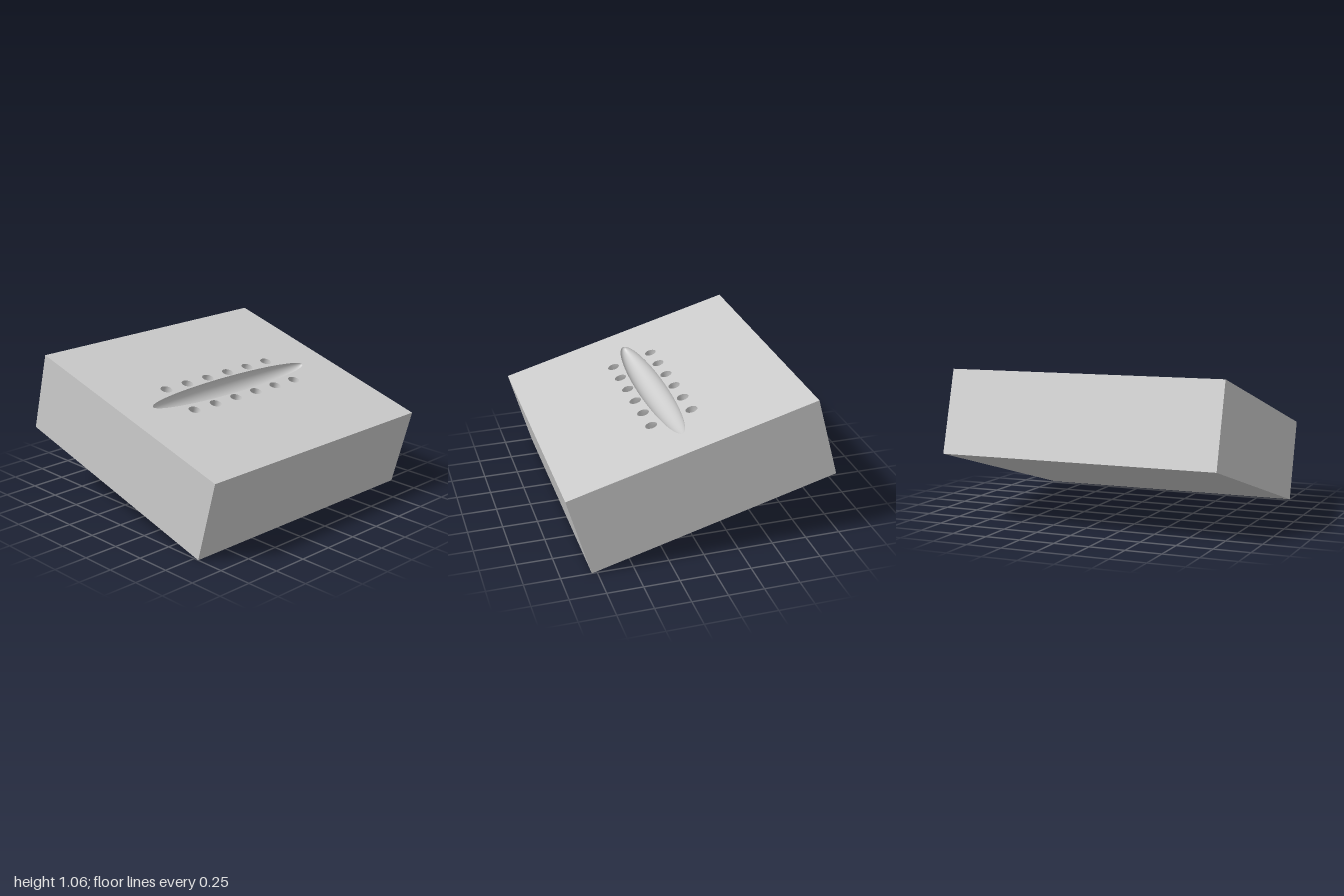
import * as THREE from 'three';

const W = 1.8, H = 0.6, L = 2;              // block width, thickness, length
const TILT = THREE.MathUtils.degToRad(15.5);
const GROOVE = { x: 0.1, y: 0.1, z: 0.75 }; // radii of the incision
const HOLE_R = 0.042, HOLE_X = 0.15;        // suture holes
const ROWS = [-0.5, -0.3, -0.1, 0.1, 0.3, 0.5];

export function createModel() {
  const model = new THREE.Group();
  const block = new THREE.Group();
  block.name = 'tiltedBlock';
  block.rotation.z = -TILT;
  block.position.y = (W * Math.sin(TILT) + H * Math.cos(TILT)) / 2;
  model.add(block);

  const solid = new THREE.MeshStandardMaterial({ color: 0xcccccc });
  const hollow = new THREE.MeshStandardMaterial({ color: 0xcccccc, side: THREE.BackSide });
  const add = (name, geometry, material, y = 0, z = 0) => {
    const mesh = new THREE.Mesh(geometry, material);
    mesh.name = name;
    mesh.position.set(0, y, z);
    block.add(mesh);
  };

  // Sides and bottom: a box without its top face
  const body = new THREE.BoxGeometry(W, H, L);
  const index = Array.from(body.index.array);
  index.splice(12, 6);
  body.setIndex(index);
  body.clearGroups();
  add('blockBody', body, solid);

  // Top face, pierced by the groove and the holes
  const top = new THREE.Shape([
    new THREE.Vector2(-W / 2, -L / 2), new THREE.Vector2(W / 2, -L / 2),
    new THREE.Vector2(W / 2, L / 2), new THREE.Vector2(-W / 2, L / 2),
  ]);
  const pierce = (x, y, rx, ry) =>
    top.holes.push(new THREE.Path().absellipse(x, y, rx, ry, 0, Math.PI * 2, true));
  pierce(0, 0, GROOVE.x, GROOVE.z);
  for (const z of ROWS) for (const side of [-1, 1]) pierce(side * HOLE_X, -z, HOLE_R, HOLE_R);
  add('topFace', new THREE.ShapeGeometry(top, 32).rotateX(-Math.PI / 2), solid, H / 2);

  // Long spindle-shaped groove
  const groove = new THREE.SphereGeometry(1, 64, 20, 0, Math.PI * 2, Math.PI / 2, Math.PI / 2);
  add('groove', groove.scale(GROOVE.x, GROOVE.y, GROOVE.z), hollow, H / 2);

  // Curved channels joining each pair of holes beneath the groove
  const channel = new THREE.TorusGeometry(HOLE_X, HOLE_R, 64, 24, Math.PI).rotateZ(Math.PI);
  for (const z of ROWS) add('stitchChannel', channel, hollow, H / 2, z);

  return model;
}
